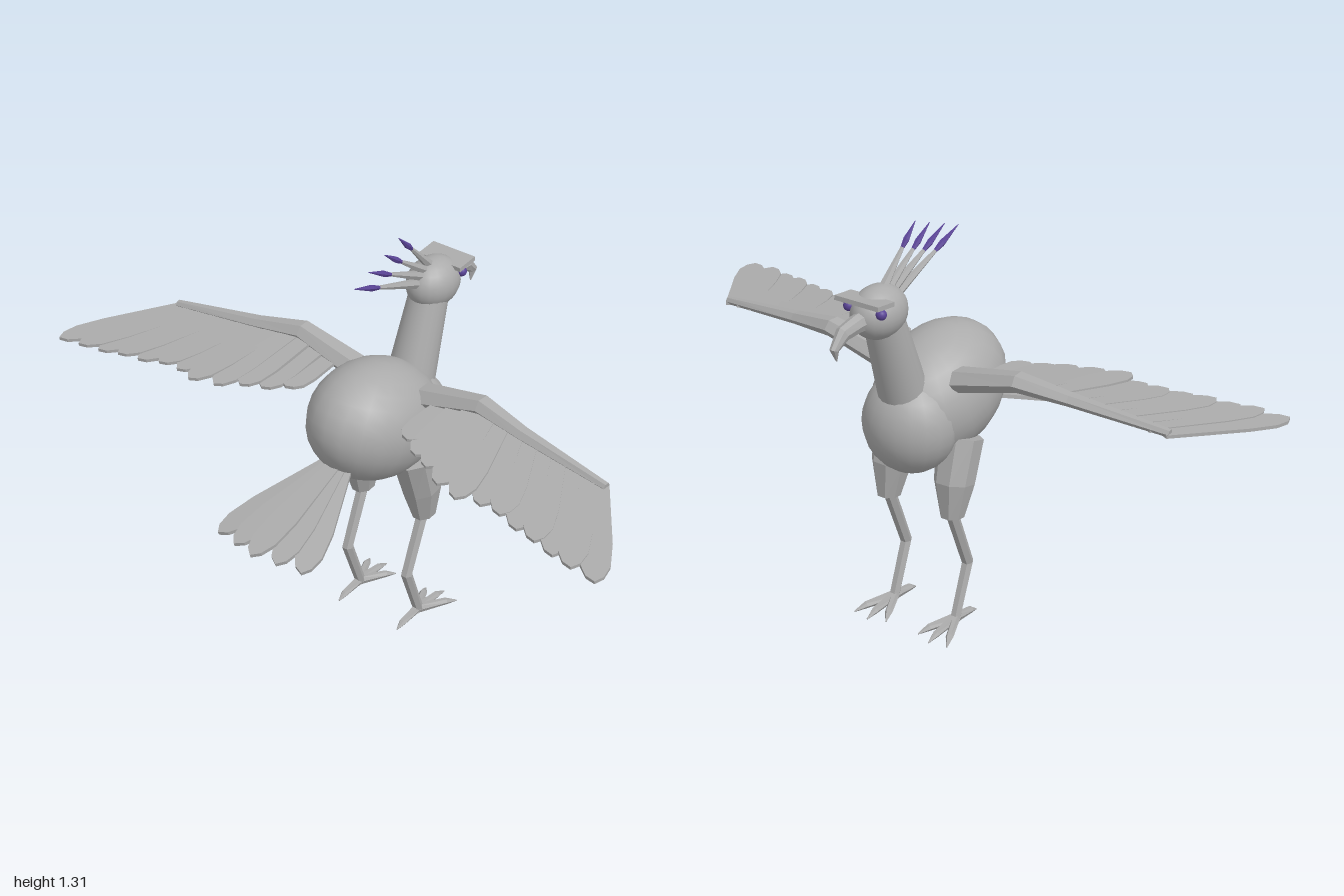
import * as THREE from 'three';

const grey = new THREE.MeshStandardMaterial({ color: 0xababab });
grey.name = 'plumage grey';
const purple = new THREE.MeshStandardMaterial({ color: 0x5a4496 });
purple.name = 'accent purple';

const V = (x, y, z) => new THREE.Vector3(x, y, z);

function add(parent, name, geometry, material = grey) {
  const mesh = new THREE.Mesh(geometry, material);
  mesh.name = name;
  parent.add(mesh);
  return mesh;
}

// Smooth ellipsoid
function ball(parent, name, pos, radii, material = grey, tilt = 0) {
  const m = add(parent, name, new THREE.SphereGeometry(1, 20, 14), material);
  m.position.set(...pos);
  m.scale.set(...radii);
  m.rotation.x = tilt;
  return m;
}

// Faceted limb through sections [x, y, z, radius along ref, radius across]
function limb(sections, sides, ref = V(1, 0, 0), turn = 0) {
  const centres = sections.map((s) => V(s[0], s[1], s[2]));
  const last = centres.length - 1;
  const rings = sections.map((s, i) => {
    const t = centres[Math.min(i + 1, last)].clone().sub(centres[Math.max(i - 1, 0)]).normalize();
    const u = ref.clone().addScaledVector(t, -ref.dot(t)).normalize();
    const v = t.clone().cross(u);
    return Array.from({ length: sides }, (_, j) => {
      const a = (j / sides) * Math.PI * 2 + turn;
      return centres[i].clone()
        .addScaledVector(u, Math.cos(a) * s[3])
        .addScaledVector(v, Math.sin(a) * (s[4] ?? s[3]));
    });
  });
  const points = [];
  for (let j = 0; j < sides; j++) {
    const k = (j + 1) % sides;
    points.push(centres[0], rings[0][k], rings[0][j], centres[last], rings[last][j], rings[last][k]);
    for (let i = 0; i < last; i++) {
      const [a, b, c, d] = [rings[i][j], rings[i][k], rings[i + 1][k], rings[i + 1][j]];
      points.push(a, b, c, a, c, d);
    }
  }
  const g = new THREE.BufferGeometry().setFromPoints(points);
  g.computeVertexNormals();
  return g;
}

// Thin pointed feather from root to tip
function feather(root, tip, baseWidth, width, depth = 0.01) {
  const dir = tip.clone().sub(root);
  const L = dir.length();
  dir.normalize();
  const half = [[baseWidth / 2, 0], [width / 2, L * 0.62], [width * 0.47, L * 0.84], [width * 0.28, L * 0.95]];
  const outline = [...half, [0, L], ...half.slice().reverse().map(([x, y]) => [-x, y])];
  const shape = new THREE.Shape(outline.map(([x, y]) => new THREE.Vector2(x, y)));
  const g = new THREE.ExtrudeGeometry(shape, { depth, bevelEnabled: false });
  g.translate(0, 0, -depth / 2);
  const w = dir.clone().cross(V(0, 1, 0)).normalize();
  const n = w.clone().cross(dir);
  return g.applyMatrix4(new THREE.Matrix4().makeBasis(w, dir, n).setPosition(root));
}

function buildTorso(bird) {
  ball(bird, 'body', [0, 0.745, -0.04], [0.18, 0.19, 0.25], grey, -0.35);
  ball(bird, 'chest', [0, 0.69, -0.18], [0.15, 0.16, 0.142]);
  const from = V(0, 0.79, -0.215), to = V(0, 1.07, -0.31);
  const neck = add(bird, 'neck', new THREE.CylinderGeometry(0.06, 0.076, from.distanceTo(to), 20));
  neck.position.copy(from).lerp(to, 0.5);
  neck.quaternion.setFromUnitVectors(V(0, 1, 0), to.clone().sub(from).normalize());
}

function buildHead(bird) {
  const head = new THREE.Group();
  head.name = 'head';
  bird.add(head);
  ball(head, 'skull', [0, 1.09, -0.326], [0.075, 0.08, 0.097]);
  const brow = add(head, 'brow', new THREE.BoxGeometry(0.155, 0.014, 0.075));
  brow.position.set(0, 1.144, -0.392);
  brow.rotation.x = 0.1;
  for (const s of [1, -1]) ball(head, 'eye', [s * 0.058, 1.115, -0.39], [0.016, 0.016, 0.016], purple);
  // Hooked beak
  add(head, 'beak', limb([
    [0, 1.085, -0.39, 0.028, 0.032], [0, 1.086, -0.43, 0.026, 0.028], [0, 1.077, -0.492, 0.021, 0.025],
    [0, 1.041, -0.53, 0.013, 0.015], [0, 1.005, -0.52, 0.002, 0.002],
  ], 8));
  // Crest quills in profile: root, start of coloured tip, point (z, y)
  const quills = [
    [[-0.25, 1.115], [-0.06, 1.188], [0.055, 1.235]],
    [[-0.265, 1.135], [-0.115, 1.207], [-0.012, 1.26]],
    [[-0.285, 1.145], [-0.165, 1.227], [-0.085, 1.285]],
    [[-0.31, 1.15], [-0.215, 1.248], [-0.153, 1.31]],
  ];
  for (const [a, b, c] of quills) {
    const mid = [b[0] * 0.7 + c[0] * 0.3, b[1] * 0.7 + c[1] * 0.3];
    add(head, 'crestQuill', limb([[0, a[1], a[0], 0.016], [0, b[1], b[0], 0.006]], 6));
    add(head, 'crestTip', limb([
      [0, b[1], b[0], 0.006], [0, mid[1], mid[0], 0.01], [0, c[1], c[0], 0.001],
    ], 6), purple);
  }
}

function buildWing(bird, s) {
  const wing = new THREE.Group();
  wing.name = s > 0 ? 'leftWing' : 'rightWing';
  bird.add(wing);
  const arm = [
    [0.13, 0.835, -0.118, 0.038, 0.05], [0.34, 0.885, -0.12, 0.03, 0.038],
    [0.5, 0.866, -0.096, 0.02, 0.028], [0.81, 0.835, -0.062, 0.012, 0.014],
  ];
  add(wing, 'wingArm', limb(arm.map(([x, ...r]) => [s * x, ...r]), 6, V(0, 1, 0), Math.PI / 6));
  const onArm = (x) => {
    const i = x < 0.34 ? 0 : x < 0.5 ? 1 : 2;
    const t = (x - arm[i][0]) / (arm[i + 1][0] - arm[i][0]);
    return V(x, 0, 0).setY(arm[i][1] + t * (arm[i + 1][1] - arm[i][1]) - 0.008)
      .setZ(arm[i][2] + t * (arm[i + 1][2] - arm[i][2]));
  };
  // Flight feather tips (x, z), outermost first
  const tips = [[1, 0.285], [0.92, 0.28], [0.85, 0.265], [0.78, 0.25], [0.71, 0.235], [0.64, 0.215],
    [0.57, 0.21], [0.5, 0.235], [0.42, 0.21], [0.35, 0.17], [0.29, 0.14], [0.23, 0.1]];
  tips.forEach(([x, z], i) => {
    const root = onArm(0.785 - i * 0.052);
    const tip = V(x, 0.8 + 0.03 * (i / 11) + (i % 2) * 0.004, z);
    root.x *= s;
    tip.x *= s;
    add(wing, 'flightFeather', feather(root, tip, 0.055, 0.088));
  });
}

function buildLeg(bird, s) {
  const leg = new THREE.Group();
  leg.name = s > 0 ? 'leftLeg' : 'rightLeg';
  bird.add(leg);
  const x = s * 0.118;
  add(leg, 'thigh', limb([
    [s * 0.112, 0.635, -0.085, 0.072, 0.068], [x, 0.5, -0.125, 0.062, 0.066], [s * 0.12, 0.39, -0.138, 0.036, 0.041],
  ], 8, V(1, 0, 0), Math.PI / 8));
  add(leg, 'shin', limb([
    [x, 0.41, -0.142, 0.02], [x, 0.195, -0.055, 0.019], [x, 0.025, -0.118, 0.017],
  ], 6));
  // Three front toes and a hind toe, each bent down to a claw
  const ends = [[0.062, -0.235], [0.118, -0.258], [0.178, -0.245], [0.118, -0.008]];
  for (const [ex, ez] of ends) {
    const at = (t) => [s * (0.118 + (ex - 0.118) * t), -0.112 + (ez + 0.112) * t];
    const [kx, kz] = at(0.72), [tx, tz] = at(1), [bx, bz] = at(-0.05);
    add(leg, 'toe', limb([
      [bx, 0.024, bz, 0.013, 0.017], [kx, 0.015, kz, 0.012, 0.011], [tx, 0.003, tz, 0.002, 0.002],
    ], 6));
  }
}

function buildTail(bird) {
  const tail = new THREE.Group();
  tail.name = 'tail';
  bird.add(tail);
  for (let i = -2; i <= 2; i++) {
    const d = Math.abs(i);
    const root = V(i * 0.014, 0.68 - d * 0.004, 0.13);
    const tip = V(i * 0.079, 0.568 - d * 0.007, 0.54 - d * 0.02);
    add(tail, 'tailFeather', feather(root, tip, 0.04, 0.088, 0.012));
  }
}

export function createModel() {
  const bird = new THREE.Group();
  bird.name = 'bird';
  buildTorso(bird);
  buildHead(bird);
  for (const s of [1, -1]) {
    buildWing(bird, s);
    buildLeg(bird, s);
  }
  buildTail(bird);
  return bird;
}
